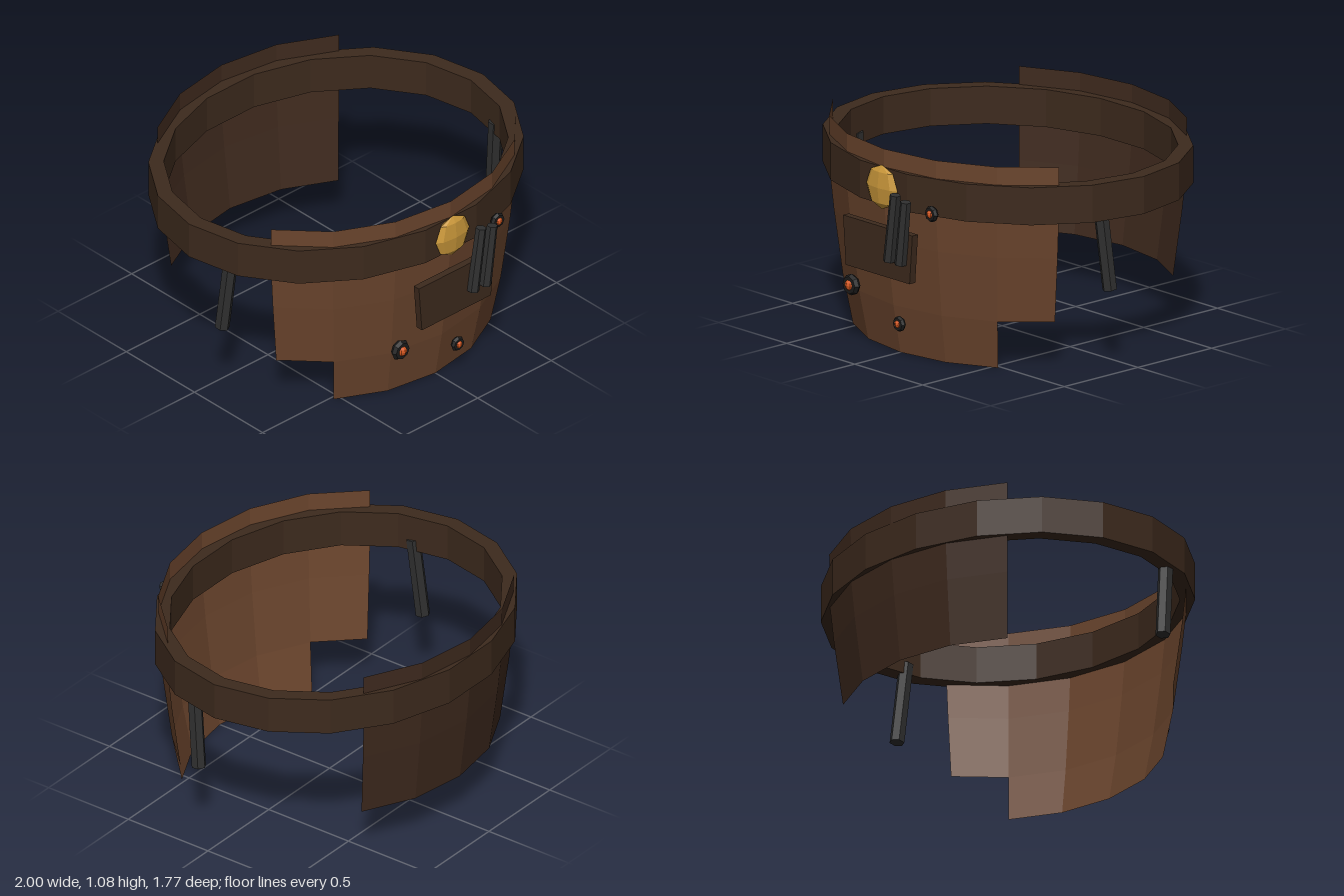
import * as THREE from 'three';

const ZC = -0.04;      // centre of the waist oval
const RATIO = 0.877;   // depth / width of the cloth panels

const mat = (color, side = THREE.FrontSide) =>
  new THREE.MeshStandardMaterial({ color, side, flatShading: true, roughness: 0.9 });

// Half-width of the hanging cloth at each height: straight at the waist, tucked in below
const PROFILE = [[1.08, 0.96], [0.79, 0.956], [0.6, 0.935], [0.255, 0.886], [0, 0.832]];

// Curved sheet hanging around the oval; columns are 20 degrees apart
function sheet(rows, halfCols, facing) {
  const pos = [], idx = [], n = halfCols * 2 + 1;
  for (const [y, r] of rows) {
    for (let c = -halfCols; c <= halfCols; c++) {
      const a = THREE.MathUtils.degToRad(c * 20);
      pos.push(facing * r * Math.sin(a), y, ZC + facing * r * RATIO * Math.cos(a));
    }
  }
  for (let i = 0; i < rows.length - 1; i++) {
    for (let c = 0; c < n - 1; c++) {
      const a = i * n + c, b = a + n;
      idx.push(a, b, a + 1, b, b + 1, a + 1);
    }
  }
  const g = new THREE.BufferGeometry();
  g.setAttribute('position', new THREE.Float32BufferAttribute(pos, 3));
  g.setIndex(idx);
  g.computeVertexNormals();
  return g;
}

// Six-sided bar between two points
function bar(from, to, rFrom, rTo, material) {
  const a = new THREE.Vector3(...from), b = new THREE.Vector3(...to);
  const dir = b.clone().sub(a);
  const m = new THREE.Mesh(new THREE.CylinderGeometry(rTo, rFrom, dir.length(), 6), material);
  m.position.copy(a).add(b).multiplyScalar(0.5);
  m.quaternion.setFromUnitVectors(new THREE.Vector3(0, 1, 0), dir.normalize());
  return m;
}

export function createModel() {
  const model = new THREE.Group();
  const leather = mat(0x3d2a1d);
  const iron = mat(0x303030);
  const add = (name, mesh) => {
    mesh.name = name;
    model.add(mesh);
    return mesh;
  };

  // Belt: 18-sided oval band with a rectangular section
  const section = [[0.918, 0.79], [1, 0.79], [1, 0.985], [0.918, 0.985], [0.918, 0.79]]
    .map(([x, y]) => new THREE.Vector2(x, y));
  const beltGeo = new THREE.LatheGeometry(section, 18, Math.PI / 2);
  beltGeo.scale(1, 1, 0.857);
  add('belt', new THREE.Mesh(beltGeo, leather)).position.z = ZC;

  // Front apron: wide upper tier and narrower lower tier
  const cloth = mat(0x6b452d, THREE.DoubleSide);
  const apron = add('frontApron', new THREE.Group());
  [['upperTier', PROFILE.slice(0, 4), 3], ['lowerTier', PROFILE.slice(3), 2]].forEach(([name, rows, cols]) => {
    const m = new THREE.Mesh(sheet(rows, cols, 1), cloth);
    m.name = name;
    apron.add(m);
  });

  // Back flap
  add('backFlap', new THREE.Mesh(sheet(PROFILE.slice(0, 4), 2, -1), mat(0x3f2a1e, THREE.DoubleSide)));

  // Buckle: flattened faceted ball
  const buckle = add('buckle', new THREE.Mesh(new THREE.SphereGeometry(0.115, 8, 4), mat(0xc9973a)));
  buckle.scale.z = 0.27;
  buckle.position.set(0, 0.885, 0.815);

  // Patch: plate slightly wider at the top
  const patchShape = new THREE.Shape([[-0.235, 0.435], [0.235, 0.435], [0.255, 0.69], [-0.255, 0.69]]
    .map(([x, y]) => new THREE.Vector2(x, y)));
  const patchGeo = new THREE.ExtrudeGeometry(patchShape, { depth: 0.038, bevelEnabled: false });
  add('patch', new THREE.Mesh(patchGeo, leather)).position.z = 0.806;

  // Two slanted tool bars over the patch
  add('toolBar1', bar([0.1, 0.53, 0.858], [0.15, 0.885, 0.863], 0.032, 0.028, iron));
  add('toolBar2', bar([0.183, 0.53, 0.858], [0.226, 0.865, 0.863], 0.032, 0.028, iron));

  // Hanging side bars
  for (const s of [1, -1]) {
    add(s > 0 ? 'leftSideBar' : 'rightSideBar',
      bar([s * 0.92, 0.413, 0.118], [s * 0.899, 0.85, 0.162], 0.038, 0.038, iron));
  }

  // Studs: dark ring with a glowing core
  const ember = mat(0xd2561e);
  const black = mat(0x1c1c1c);
  [[-0.295, 0.3, 0.75, 0.055], [0.077, 0.18, 0.768, 0.04], [0.333, 0.81, 0.785, 0.042]].forEach(([x, y, z, r], i) => {
    const stud = add('stud' + (i + 1), new THREE.Group());
    const ring = new THREE.Mesh(new THREE.TorusGeometry(r * 0.62, r * 0.4, 6, 8), black);
    ring.name = 'studRing';
    const core = new THREE.Mesh(new THREE.SphereGeometry(r * 0.52, 8, 6), ember);
    core.name = 'studCore';
    core.position.z = r * 0.16;
    stud.add(ring, core);
    stud.position.set(x, y, z);
  });

  return model;
}
